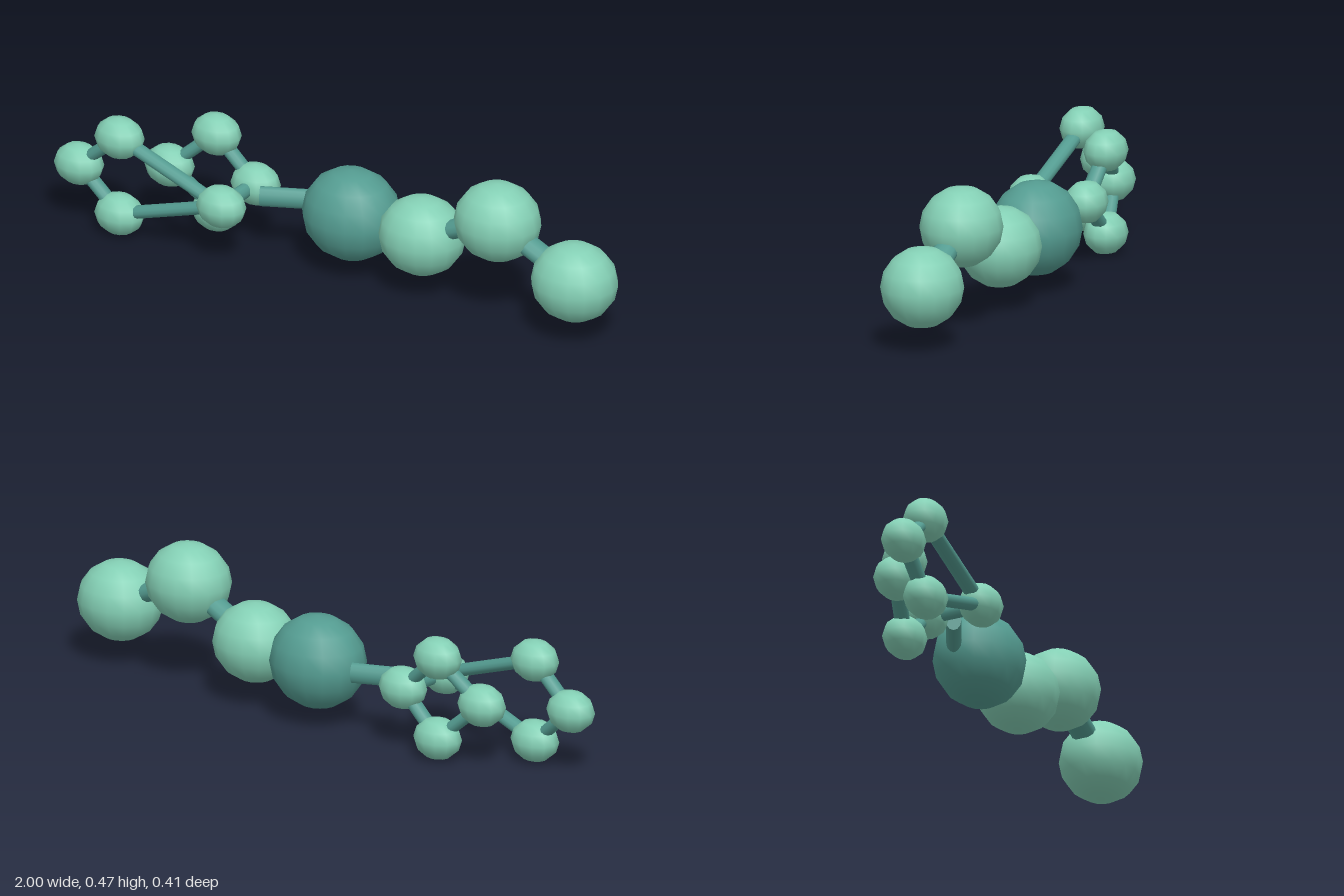
import * as THREE from 'three';

const V = (x, y, z) => new THREE.Vector3(x, y, z);

export function createModel() {
  const model = new THREE.Group();
  const light = new THREE.MeshStandardMaterial({ name: 'light teal', color: 0x84d0b5 });
  const dark = new THREE.MeshStandardMaterial({ name: 'dark teal', color: 0x549c91 });

  // Slightly stretched ball with the pole on y
  function ball(name, center, radii, segments, material) {
    const mesh = new THREE.Mesh(new THREE.SphereGeometry(1, segments, segments / 2), material);
    mesh.name = name;
    mesh.scale.set(...radii);
    mesh.position.copy(center);
    model.add(mesh);
  }

  // Oval rod from a to b; wide is its radius along the side vector
  function rod(name, a, b, thin, wide, side) {
    const dir = b.clone().sub(a);
    const geometry = new THREE.CylinderGeometry(1, 1, dir.length(), 12);
    geometry.scale(thin, 1, wide);
    dir.normalize();
    const across = dir.clone().cross(side).normalize();
    geometry.applyMatrix4(new THREE.Matrix4().makeBasis(across, dir, across.clone().cross(dir)));
    const mesh = new THREE.Mesh(geometry, dark);
    mesh.name = name;
    mesh.position.copy(a).add(b).multiplyScalar(0.5);
    model.add(mesh);
  }

  const zSide = V(0, 0, 1), ySide = V(0, 1, 0);

  // Large chain: dark core followed by three light balls
  const chain = [V(0, 0.207, -0.057), V(0.27, 0.207, -0.057), V(0.56, 0.338, -0.057), V(0.855, 0.207, -0.057)];
  chain.forEach((p, i) => {
    if (i === 0) ball('coreBall', p, [0.165, 0.153, 0.146], 16, dark);
    else {
      ball('chainBall', p, [0.144, 0.131, 0.132], 16, light);
      rod('chainRod', chain[i - 1], p, 0.032, 0.042, zSide);
    }
  });

  // Two small diamond rings, each listed as root, upper, tip, lower
  const rings = [
    [V(-0.37, 0.207, 0.135), V(-0.76, 0.342, 0.135), V(-0.915, 0.207, 0.135), V(-0.76, 0.072, 0.135)],
    [V(-0.37, 0.207, -0.06), V(-0.52, 0.342, -0.06), V(-0.67, 0.207, -0.016), V(-0.52, 0.072, -0.06)],
  ];
  for (const ring of rings) {
    ring.forEach((p, i) => {
      ball('ringBall', p, [0.085, 0.069, 0.069], 12, light);
      rod('ringRod', p, ring[(i + 1) % 4], 0.021, 0.026, zSide);
    });
  }

  // Link between the ring roots, and the stem to the core
  rod('linkRod', rings[0][0], rings[1][0], 0.022, 0.026, ySide);
  rod('stemRod', V(-0.308, 0.207, 0.006), V(-0.158, 0.207, -0.068), 0.025, 0.034, ySide);

  return model;
}
